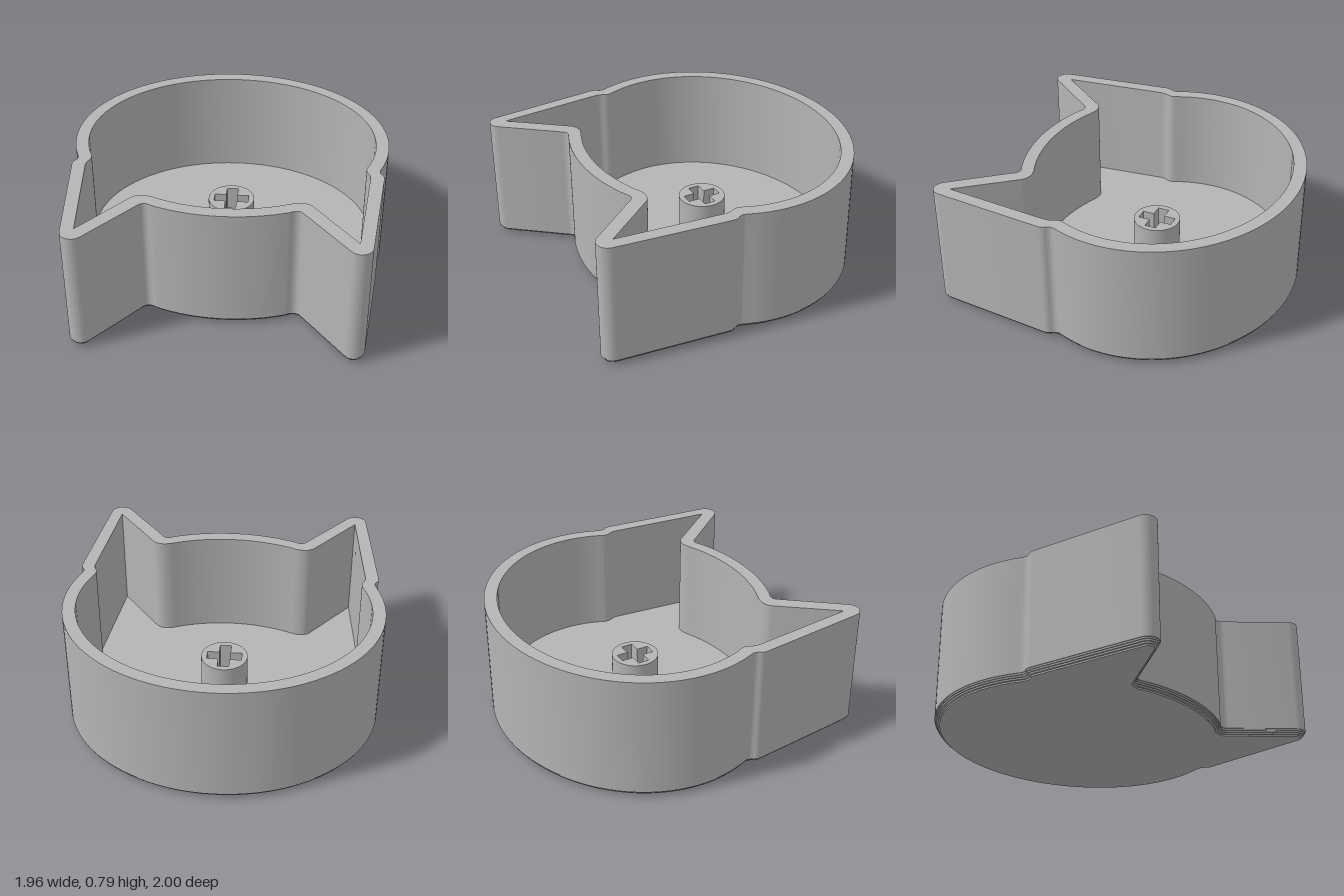
import * as THREE from 'three';
import { toCreasedNormals } from 'three/addons/utils/BufferGeometryUtils.js';

const HEIGHT = 0.79, FLOOR = 0.114, STEP = 0.01, CENTRE_Z = -0.145;

// Mirror a half outline (x >= 0, from back to front, in x/z) into a closed loop in shape space (y = -z)
function closeOutline(path) {
  const half = [];
  for (const p of path.getPoints(20)) {
    if (!half.length || half[half.length - 1].distanceTo(p) > 0.002) half.push(p);
  }
  half[0].x = 0;
  half[half.length - 1].x = 0;
  const mirrored = half.slice(1, -1).reverse().map(p => new THREE.Vector2(-p.x, p.y));
  const loop = half.concat(mirrored).map(p => new THREE.Vector2(p.x, -p.y));
  return THREE.ShapeUtils.isClockWise(loop) ? loop.reverse() : loop;
}

// Outer wall: oval head, small neck notch, round-tipped ear, fillet back to the oval
function outerOutline() {
  const p = new THREE.Path();
  p.moveTo(0, -1);
  p.absellipse(0, CENTRE_Z, 0.98, 0.855, -Math.PI / 2, 0.34, false);
  p.quadraticCurveTo(0.912, 0.17, 0.928, 0.192);
  p.quadraticCurveTo(0.944, 0.21, 0.942, 0.24);
  p.absarc(0.80, 0.93, 0.07, 0.1, 2.463, false);
  p.lineTo(0.485, 0.65);
  p.quadraticCurveTo(0.453, 0.598, 0.40, 0.636);
  p.absellipse(0, CENTRE_Z, 0.98, 0.855, 1.15, Math.PI / 2, false);
  return closeOutline(p);
}

// Inner wall: same layout with a sharp ear corner
function innerOutline() {
  const p = new THREE.Path();
  p.moveTo(0, -0.92);
  p.absellipse(0, CENTRE_Z, 0.90, 0.775, -Math.PI / 2, 0.367, false);
  p.quadraticCurveTo(0.832, 0.16, 0.848, 0.19);
  p.quadraticCurveTo(0.861, 0.212, 0.859, 0.245);
  p.lineTo(0.795, 0.90);
  p.lineTo(0.535, 0.57);
  p.bezierCurveTo(0.505, 0.53, 0.455, 0.526, 0.40, 0.549);
  p.absellipse(0, CENTRE_Z, 0.90, 0.775, 1.11, Math.PI / 2, false);
  return closeOutline(p);
}

// Move every point of a counter-clockwise loop inwards
function inset(loop, d) {
  const n = loop.length;
  return loop.map((p, i) => {
    const t = loop[(i + 1) % n].clone().sub(loop[(i + n - 1) % n]).normalize();
    return new THREE.Vector2(p.x - t.y * d, p.y + t.x * d);
  });
}

export function createModel() {
  const group = new THREE.Group();
  const grey = new THREE.MeshStandardMaterial({ color: 0xb4b4b4 });
  grey.name = 'grey';

  // Upright slab from y0 to y1 with an optional hole
  function slab(name, loop, y0, y1, hole) {
    const shape = new THREE.Shape(loop);
    if (hole) shape.holes.push(new THREE.Path(hole));
    const geo = new THREE.ExtrudeGeometry(shape, { depth: y1 - y0, bevelEnabled: false, curveSegments: 24 });
    geo.rotateX(-Math.PI / 2);
    geo.translate(0, y0, 0);
    const mesh = new THREE.Mesh(toCreasedNormals(geo, 0.5), grey);
    mesh.name = name;
    group.add(mesh);
  }

  const outer = outerOutline(), inner = innerOutline();

  // Stepped rounding under the base
  const insets = [0.033, 0.021, 0.012, 0.005];
  insets.forEach((d, i) => slab('baseStep' + (i + 1), inset(outer, d), i * STEP, (i + 1) * STEP));

  const base = insets.length * STEP;
  slab('wall', outer, base, HEIGHT, inner);
  slab('floor', inner, base, FLOOR);

  // Round post with a cross-shaped socket
  const postY = 0.095, a = 0.11, b = 0.036;
  const circle = new THREE.Path().absarc(0, postY, 0.147, 0, Math.PI * 2, false).getPoints(24).slice(0, -1);
  const cross = [[b, a], [b, b], [a, b], [a, -b], [b, -b], [b, -a], [-b, -a], [-b, -b], [-a, -b], [-a, b], [-b, b], [-b, a]]
    .map(([x, y]) => new THREE.Vector2(x, y + postY));
  slab('socketPost', circle, FLOOR, 0.37, cross);

  return group;
}
